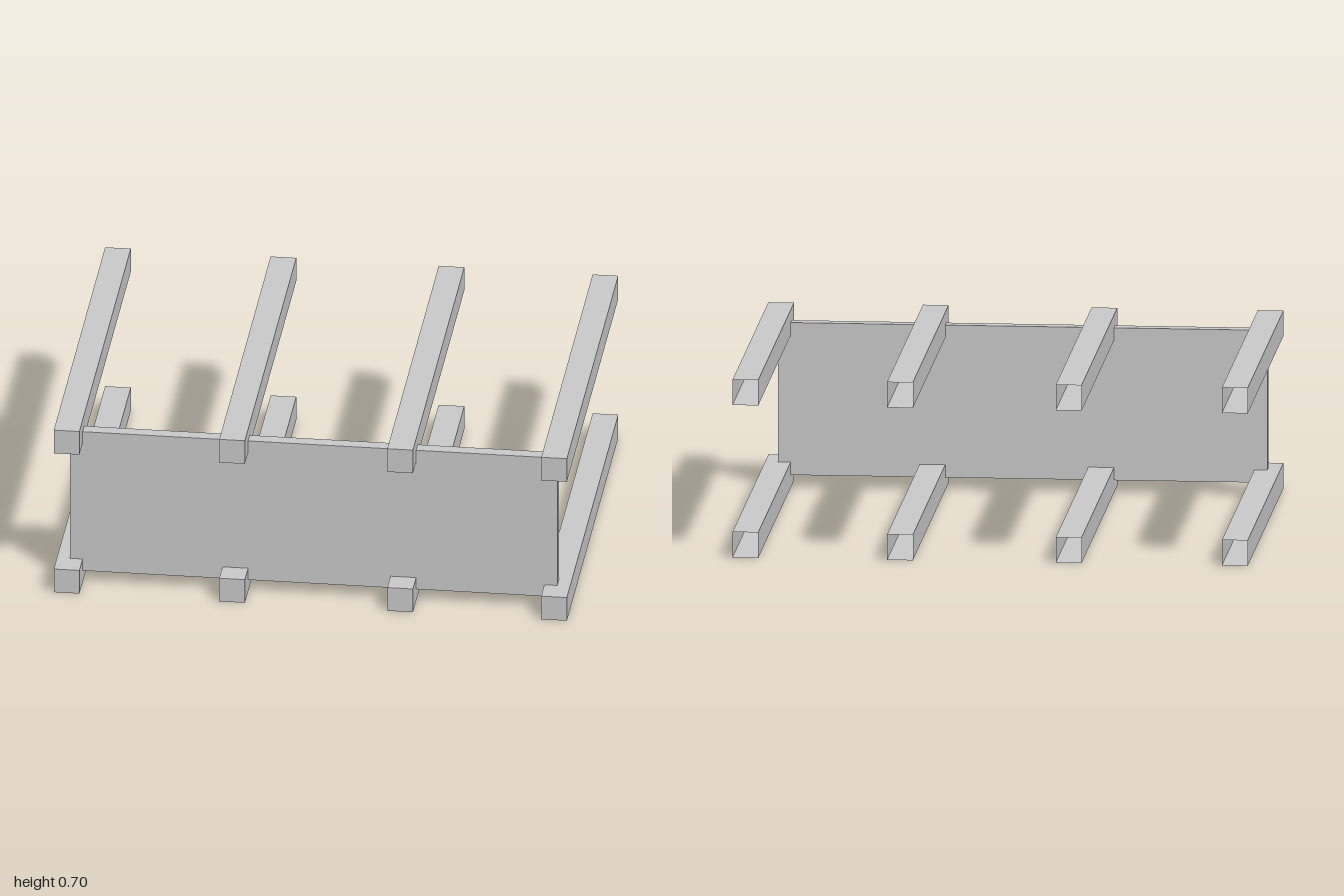
import * as THREE from 'three';

const BEAM = 0.1;
const LENGTH = 1.6;

// Square hollow beam along z: capped at the front, open at the back
function beamGeometry() {
  const geo = new THREE.BoxGeometry(BEAM, BEAM, LENGTH);
  geo.setIndex(Array.from(geo.index.array).slice(0, 30)); // drop the -z face
  geo.clearGroups();
  return geo;
}

export function createModel() {
  const model = new THREE.Group();
  model.name = 'beamFrame';
  const grey = new THREE.MeshStandardMaterial({ color: 0xcccccc, side: THREE.DoubleSide });

  // Two rows of four beams
  const geo = beamGeometry();
  const rows = { lowerBeam: 0.05, upperBeam: 0.65 };
  for (const [name, y] of Object.entries(rows)) {
    [-0.95, -0.305, 0.35, 0.95].forEach((x, i) => {
      const beam = new THREE.Mesh(geo, grey);
      beam.name = `${name}${i + 1}`;
      beam.position.set(x, y, 0);
      model.add(beam);
    });
  }

  // Upright panel joining the rows near the front
  const panel = new THREE.Mesh(new THREE.BoxGeometry(1.9, 0.6, 0.05), grey);
  panel.name = 'frontPanel';
  panel.position.set(0, 0.35, 0.675);
  model.add(panel);

  return model;
}
